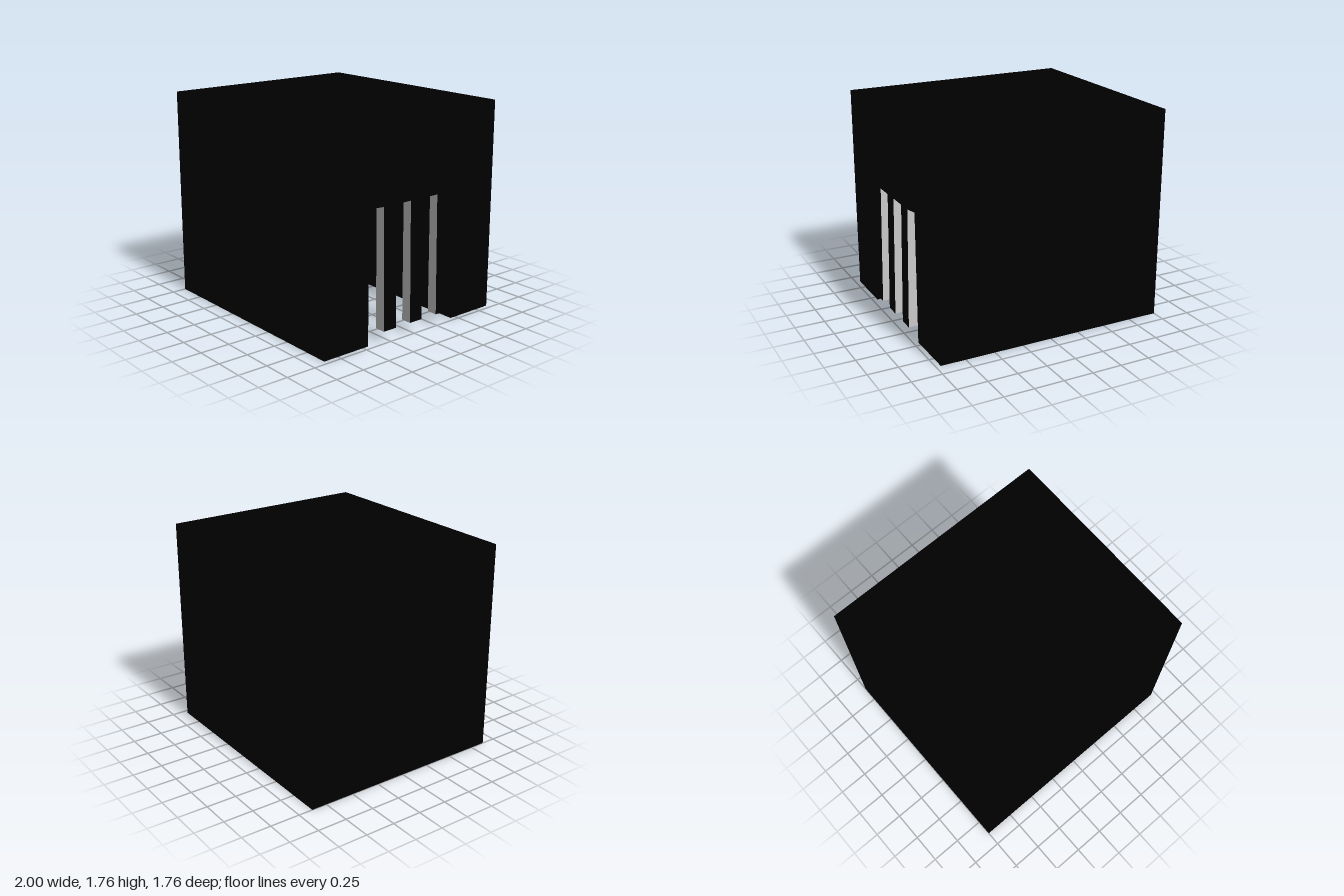
import * as THREE from 'three';

const HALF = 0.88, HEIGHT = 1.76, LEFT = 0.96, RIGHT = -1;
const DOOR_HALF = 0.45, DOOR_TOP = 1.09, DOOR_BACK = -0.47;
const BAR_WIDTH = 0.125, BAR_BOTTOM = 0.1;
const BAR_CENTRES = [0.263, -0.014, -0.297];

const black = new THREE.MeshStandardMaterial({ color: 0x000000, flatShading: true });
const grey = new THREE.MeshStandardMaterial({ color: 0xcccccc, flatShading: true });

function addMesh(group, name, geometry, material) {
  const mesh = new THREE.Mesh(geometry, material);
  mesh.name = name;
  group.add(mesh);
  return mesh;
}

// U-shaped walls around a chamber that is open below and on the +x side
function wallsGeometry() {
  const shape = new THREE.Shape([
    [RIGHT, -HALF], [LEFT, -HALF], [LEFT, -DOOR_HALF], [DOOR_BACK, -DOOR_HALF],
    [DOOR_BACK, DOOR_HALF], [LEFT, DOOR_HALF], [LEFT, HALF], [RIGHT, HALF],
  ].map(([x, y]) => new THREE.Vector2(x, y)));
  return new THREE.ExtrudeGeometry(shape, { depth: DOOR_TOP, bevelEnabled: false })
    .rotateX(-Math.PI / 2);
}

// Slight bulge above the opening, fanned from the upper front corner to the bar tops
function lintelGeometry() {
  const edge = [[LEFT, DOOR_HALF]];
  for (const z of BAR_CENTRES) {
    edge.push([0.98, z + BAR_WIDTH / 2], [0.98, z - BAR_WIDTH / 2]);
  }
  edge.push([LEFT, -DOOR_HALF]);
  const low = edge.map(([x, z]) => [x, DOOR_TOP, z]);
  const corner = [LEFT, HEIGHT, HALF];
  const positions = [];
  for (let i = 0; i < low.length - 1; i++) {
    positions.push(...corner, ...low[i], ...low[i + 1]);
    if (i > 0) positions.push(...low[0], ...low[i + 1], ...low[i]);
  }
  const geometry = new THREE.BufferGeometry();
  geometry.setAttribute('position', new THREE.Float32BufferAttribute(positions, 3));
  geometry.computeVertexNormals();
  return geometry;
}

// Square bar leaning slightly outwards towards its lower end
function barGeometry() {
  const length = DOOR_TOP - BAR_BOTTOM;
  const geometry = new THREE.BoxGeometry(0.085, length, BAR_WIDTH);
  const p = geometry.attributes.position;
  for (let i = 0; i < p.count; i++) {
    const front = p.getX(i) > 0, top = p.getY(i) > 0;
    p.setX(i, front ? (top ? 0.98 : 1.0) : (top ? 0.9 : 0.91));
  }
  geometry.translate(0, BAR_BOTTOM + length / 2, 0);
  geometry.computeVertexNormals();
  return geometry;
}

export function createModel() {
  const model = new THREE.Group();
  model.name = 'barredBlock';

  // Solid upper block over the walls
  addMesh(model, 'walls', wallsGeometry(), black);
  const upper = new THREE.BoxGeometry(LEFT - RIGHT, HEIGHT - DOOR_TOP, HALF * 2);
  upper.translate((LEFT + RIGHT) / 2, (HEIGHT + DOOR_TOP) / 2, 0);
  addMesh(model, 'upperBlock', upper, black);
  addMesh(model, 'lintel', lintelGeometry(), black);

  // Hanging bars: dark all round, with pale flanks facing front and back
  const bars = new THREE.Group();
  bars.name = 'bars';
  const geometry = barGeometry();
  for (const z of BAR_CENTRES) {
    addMesh(bars, 'bar', geometry, [black, black, black, black, grey, grey]).position.z = z;
  }
  model.add(bars);
  return model;
}
